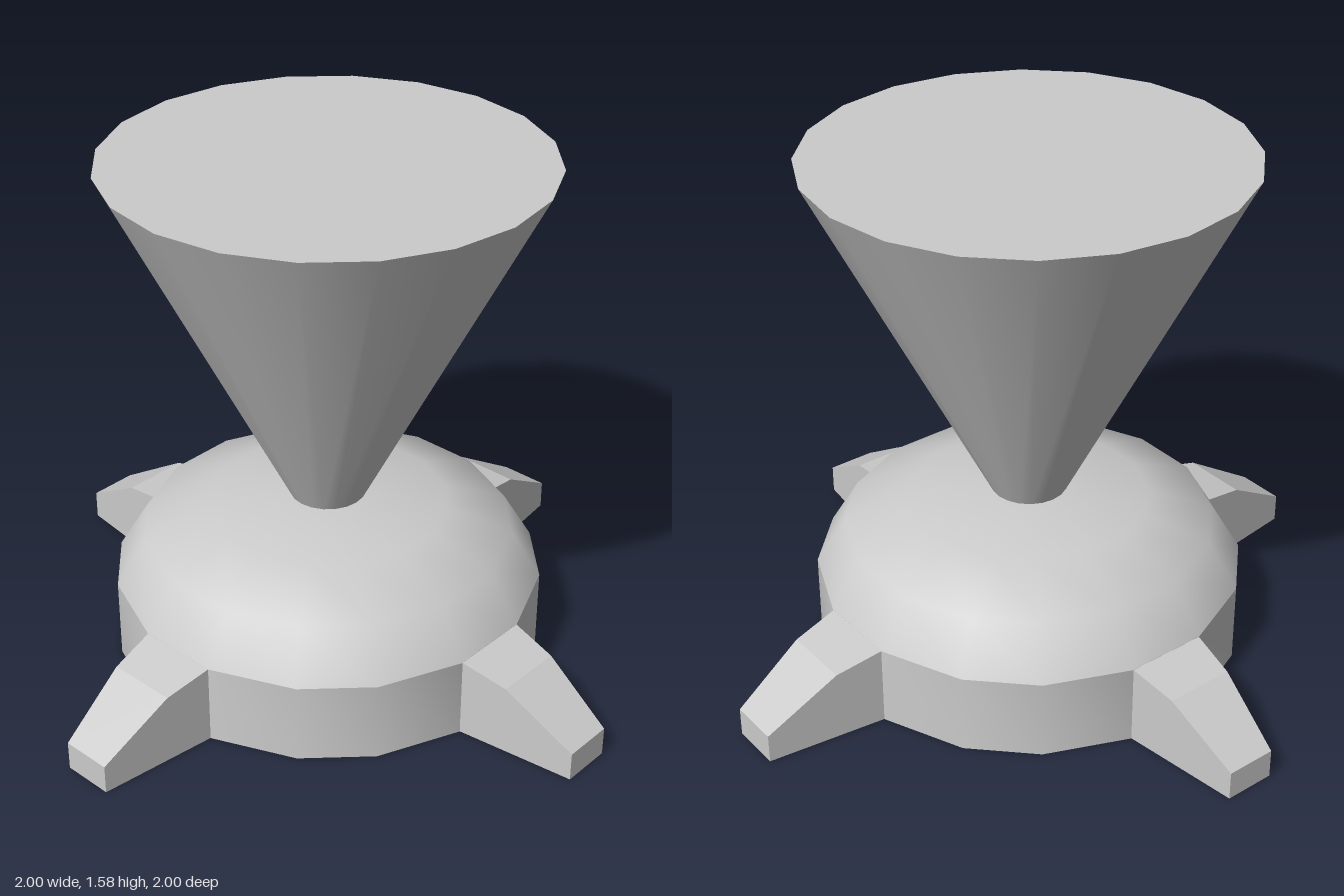
import * as THREE from 'three';
import { toCreasedNormals } from 'three/addons/utils/BufferGeometryUtils.js';

const material = new THREE.MeshStandardMaterial({ color: 0xcccccc });

// Lathe with 16 sides whose corners line up with the four feet
function ringLathe(points, creaseAngle) {
  const corners = [-11.2, 11.2, 34.8, 55.2];
  const geo = new THREE.LatheGeometry(points.map(([r, y]) => new THREE.Vector2(r, y)), 16);
  const pos = geo.attributes.position;
  for (let i = 0; i < pos.count; i++) {
    const side = Math.floor(i / points.length) % 16;
    const [r, y] = points[i % points.length];
    const a = THREE.MathUtils.degToRad(Math.floor(side / 4) * 90 + corners[side % 4]);
    pos.setXYZ(i, r * Math.sin(a), y, r * Math.cos(a));
  }
  return toCreasedNormals(geo, creaseAngle);
}

// Tapered foot pointing along +x
function footGeometry() {
  const profile = new THREE.Shape([[0.62, 0], [1, 0], [1, 0.09], [0.78, 0.22], [0.635, 0.25], [0.62, 0.25]]
    .map(([x, y]) => new THREE.Vector2(x, y)));
  const geo = new THREE.ExtrudeGeometry(profile, { depth: 2, bevelEnabled: false });
  geo.translate(0, 0, -1);
  const pos = geo.attributes.position;
  for (let i = 0; i < pos.count; i++) {
    const t = (pos.getX(i) - 0.635) / 0.365;
    pos.setZ(i, pos.getZ(i) * THREE.MathUtils.lerp(0.125, 0.077, t));
  }
  geo.computeVertexNormals();
  return geo;
}

export function createModel() {
  const model = new THREE.Group();
  const add = (name, geo) => {
    const mesh = new THREE.Mesh(geo, material);
    mesh.name = name;
    model.add(mesh);
    return mesh;
  };

  // Flat-bottomed base drum
  add('base', ringLathe([[0, 0], [0.65, 0], [0.65, 0.25]], 0.8));

  // Smooth shallow dome
  add('dome', ringLathe([[0.65, 0.25], [0.56, 0.4], [0.365, 0.47], [0.12, 0.505], [0, 0.505]], 1.2));

  // Inverted cone, sunk slightly into the dome
  const cone = new THREE.CylinderGeometry(0.65, 0.105, 1.09, 20);
  cone.translate(0, 1.03, 0);
  add('cone', cone);

  // Four feet
  const foot = footGeometry();
  for (let i = 0; i < 4; i++) add('foot', foot).rotation.y = i * Math.PI / 2;

  return model;
}
